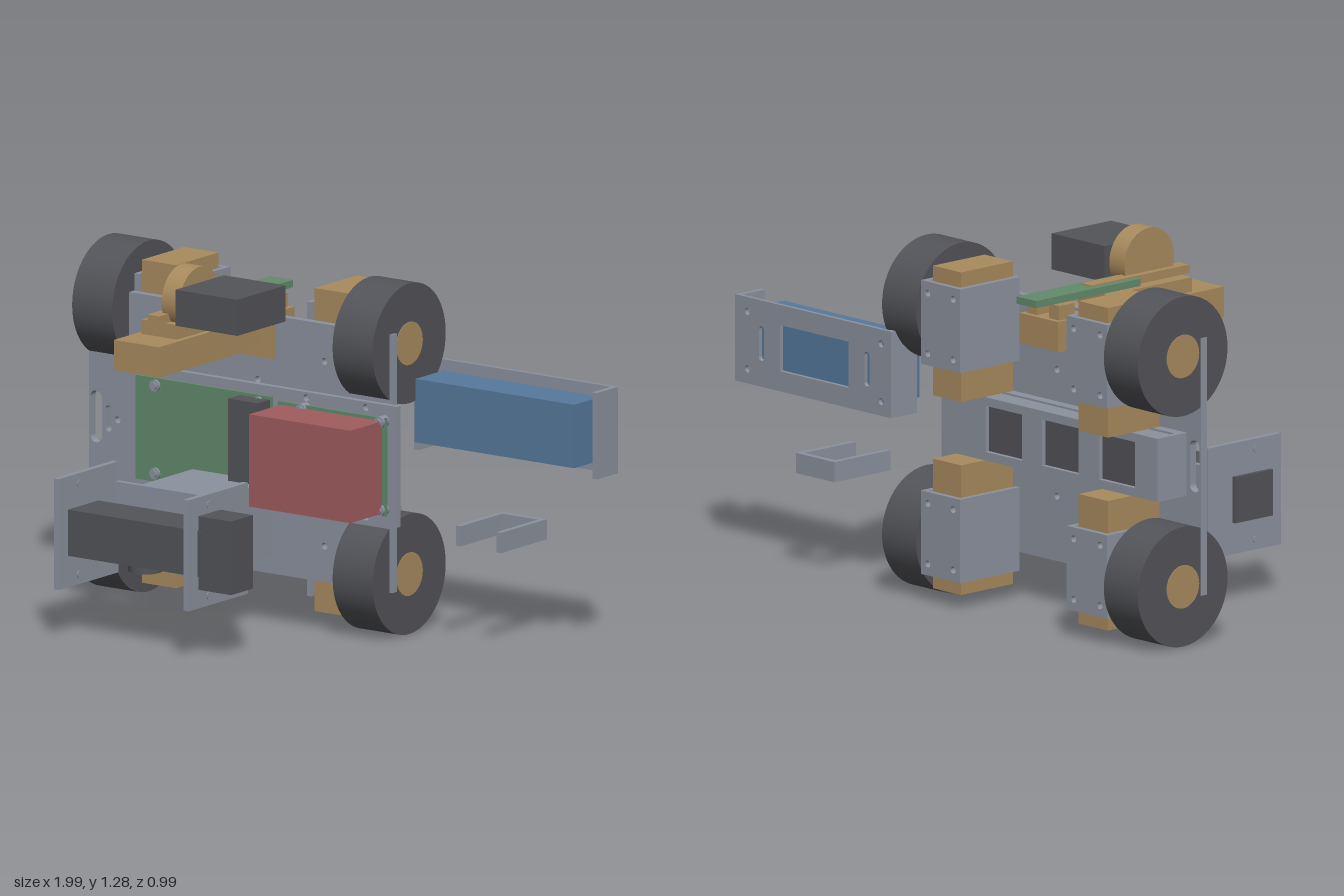
import * as THREE from 'three';

const mat = (color) => new THREE.MeshStandardMaterial({ color });

export function createModel() {
  const group = new THREE.Group();
  const metal = mat(0x8c929e), dark = mat(0x535459), gold = mat(0xa98b5e);
  const green = mat(0x628a6c), red = mat(0xa05c5e), blue = mat(0x55799c);

  const add = (name, geo, material) => {
    const m = new THREE.Mesh(geo, material);
    m.name = name;
    group.add(m);
    return m;
  };
  // box given by its limits on each axis
  const box = (name, material, x0, x1, y0, y1, z0, z1) => {
    const m = add(name, new THREE.BoxGeometry(x1 - x0, y1 - y0, z1 - z0), material);
    m.position.set((x0 + x1) / 2, (y0 + y1) / 2, (z0 + z1) / 2);
    return m;
  };
  // cylinder along the given axis
  const cyl = (name, material, axis, r, len, x, y, z, seg = 32) => {
    const m = add(name, new THREE.CylinderGeometry(r, r, len, seg), material);
    if (axis === 'x') m.rotation.z = Math.PI / 2;
    if (axis === 'z') m.rotation.x = Math.PI / 2;
    m.position.set(x, y, z);
    return m;
  };
  // hole outlines
  const rect = (x0, x1, y0, y1) => new THREE.Path([
    [x0, y0], [x0, y1], [x1, y1], [x1, y0]].map(([x, y]) => new THREE.Vector2(x, y)));
  const round = (x, y, r = 0.012) => new THREE.Path().absarc(x, y, r, 0, Math.PI * 2, true);
  const slot = (x, y, r, h) => new THREE.Path()
    .absarc(x, y + h / 2 - r, r, 0, Math.PI, false)
    .absarc(x, y - h / 2 + r, r, Math.PI, Math.PI * 2, false);
  // upright plate with cut-outs, facing z
  const plate = (name, x0, x1, y0, y1, z0, z1, holes) => {
    const s = new THREE.Shape([[x0, y0], [x1, y0], [x1, y1], [x0, y1]].map(([x, y]) => new THREE.Vector2(x, y)));
    s.holes = holes;
    const g = new THREE.ExtrudeGeometry(s, { depth: z1 - z0, bevelEnabled: false, curveSegments: 10 });
    add(name, g, metal).position.z = z0;
  };

  // chassis plates
  const chassisHoles = [slot(-0.96, 0.61, 0.024, 0.18), slot(-0.907, 0.61, 0.013, 0.09), round(-0.87, 0.61)];
  for (const [x, dy] of [[-0.72, 0.32], [-0.69, 0.22], [-0.28, 0.22], [0, 0.32]])
    chassisHoles.push(round(x, 0.61 + dy), round(x, 0.61 - dy));
  plate('chassisPlate', -0.99, 0.285, 0.165, 1.06, -0.2, -0.172, chassisHoles);
  plate('boardPlate', -0.79, 0.32, 0.4, 0.82, -0.172, -0.15,
    [round(-0.06, 0.8), round(0.19, 0.8), round(0.19, 0.42)]);

  // circuit boards on standoffs
  box('mainBoard', green, -0.76, -0.19, 0.43, 0.79, -0.137, -0.125);
  box('secondBoard', green, -0.16, 0.29, 0.44, 0.78, -0.137, -0.125);
  box('smallPlate', metal, -0.18, -0.145, 0.53, 0.75, -0.15, -0.125);
  for (const x of [-0.675, -0.24, -0.06, 0.27])
    for (const y of [0.46, 0.765]) {
      cyl('standoff', metal, 'z', 0.02, 0.04, x, y, -0.135, 16);
      cyl('boardScrew', metal, 'z', 0.014, 0.01, x, y, -0.112, 16);
    }
  box('boardConnector', dark, -0.32, -0.195, 0.49, 0.78, -0.125, -0.055);
  box('redModule', red, -0.145, 0.28, 0.45, 0.77, -0.12, 0.06);

  // wheels, motors and motor brackets
  for (const up of [1, -1]) {
    const y = 0.61 + up * 0.4;
    const span = (a, b) => up > 0 ? [0.61 + a, 0.61 + b] : [0.61 - b, 0.61 - a];
    for (const [wx, x0, x1] of [[-0.905, -0.82, -0.62], [0.19, -0.095, 0.1]]) {
      cyl('wheel', dark, 'x', 0.208, 0.168, wx, y, -0.283, 64);
      cyl('wheelHub', gold, 'x', 0.075, 0.172, wx, y, -0.283, 40);
      cyl('axle', gold, 'x', 0.025, 0.2, wx < -0.5 ? wx + 0.08 : wx - 0.08, y, -0.283, 16);
      box('motor', gold, x0 + 0.028, x1 - 0.028, ...span(0.11, 0.56), -0.445, -0.205);
      const [b0, b1] = span(0.22, 0.51);
      plate('motorBracketBack', x0, x1, b0, b1, -0.475, -0.455,
        [x0 + 0.035, x1 - 0.035].flatMap((x) => [round(x, b0 + 0.04), round(x, b1 - 0.04)]));
      box('motorBracketSide', metal, x0, x0 + 0.02, b0, b1, -0.455, -0.2);
      box('motorBracketSide', metal, x1 - 0.02, x1, b0, b1, -0.455, -0.2);
    }
  }

  // battery tray behind the chassis
  plate('trayBack', -0.92, 0.08, 0.5, 0.72, -0.335, -0.318,
    [-0.16, -0.44, -0.72].map((x) => rect(x - 0.09, x + 0.09, 0.53, 0.69)));
  box('battery', dark, -0.89, 0.05, 0.515, 0.705, -0.312, -0.24);
  for (const x of [-0.92, 0.06]) box('trayEnd', metal, x, x + 0.02, 0.5, 0.72, -0.318, -0.2);
  for (const y of [0.5, 0.705]) {
    box('trayEdge', metal, -0.9, 0.06, y, y + 0.015, -0.318, -0.258);
    box('trayRail', metal, -0.9, 0.06, y, y + 0.015, -0.238, -0.2);
  }

  // side display with its U-shaped holder
  plate('displayPlate', 0.23, 1, 0.62, 0.92, -0.49, -0.475, [
    rect(0.44, 0.78, 0.69, 0.85), slot(0.35, 0.77, 0.013, 0.12), slot(0.87, 0.77, 0.013, 0.12),
    ...[0.28, 0.94].flatMap((x) => [round(x, 0.67), round(x, 0.87)])]);
  for (const x of [0.23, 0.98]) box('displayFlange', metal, x, x + 0.02, 0.62, 0.92, -0.475, -0.37);
  box('displayBody', blue, 0.27, 0.94, 0.66, 0.88, -0.475, -0.32);

  // loose U bracket
  box('clipBack', metal, 0.51, 0.7, 0.35, 0.42, -0.49, -0.468);
  for (const x of [0.51, 0.68]) box('clipArm', metal, x, x + 0.02, 0.35, 0.42, -0.468, -0.23);

  // front arm channel
  box('armTop', metal, -0.52, -0.2, 0.475, 0.495, -0.15, 0.16);
  for (const x of [-0.52, -0.22]) box('armSide', metal, x, x + 0.02, 0.24, 0.475, -0.15, 0.16);
  box('armTab', metal, -0.2, -0.18, 0.34, 0.395, 0.08, 0.16);

  // tilting camera cradle
  box('cradleBack', metal, -0.62, -0.1, 0.24, 0.495, 0.16, 0.18);
  for (const x of [-0.645, -0.1]) {
    box('cradleSide', metal, x, x + 0.022, 0.175, 0.56, 0.158, 0.495);
    for (const y of [0.21, 0.525]) cyl('cradleScrew', metal, 'x', 0.013, 0.028, x + 0.011, y, 0.38, 16);
  }
  box('cameraBody', dark, -0.66, -0.055, 0.285, 0.445, 0.27, 0.445);
  cyl('cameraLens', dark, 'y', 0.058, 0.05, -0.36, 0.278, 0.36);
  box('tiltServo', dark, -0.13, 0.06, 0.24, 0.495, 0.315, 0.44);

  // launcher on top: stepped base, rail, board, disc and motor
  box('launcherFlange', gold, -0.51, -0.205, 0.915, 1.05, -0.172, -0.15);
  box('launcherBase', gold, -0.455, -0.265, 0.945, 1.05, -0.36, 0.41);
  box('launcherStep', gold, -0.435, -0.285, 1.05, 1.1, -0.11, 0.28);
  box('launcherRail', gold, -0.385, -0.335, 1.1, 1.13, -0.14, 0.315);
  box('launcherBoard', green, -0.41, -0.315, 1.1, 1.125, -0.42, 0.065);
  for (const x of [-0.44, -0.33]) box('boardSupport', gold, x, x + 0.05, 1.05, 1.1, -0.34, -0.27);
  cyl('launcherDisc', gold, 'x', 0.115, 0.075, -0.322, 1.165, 0.153, 48);
  box('launcherMotor', dark, -0.285, -0.025, 1.1, 1.225, 0.015, 0.29);

  return group;
}
